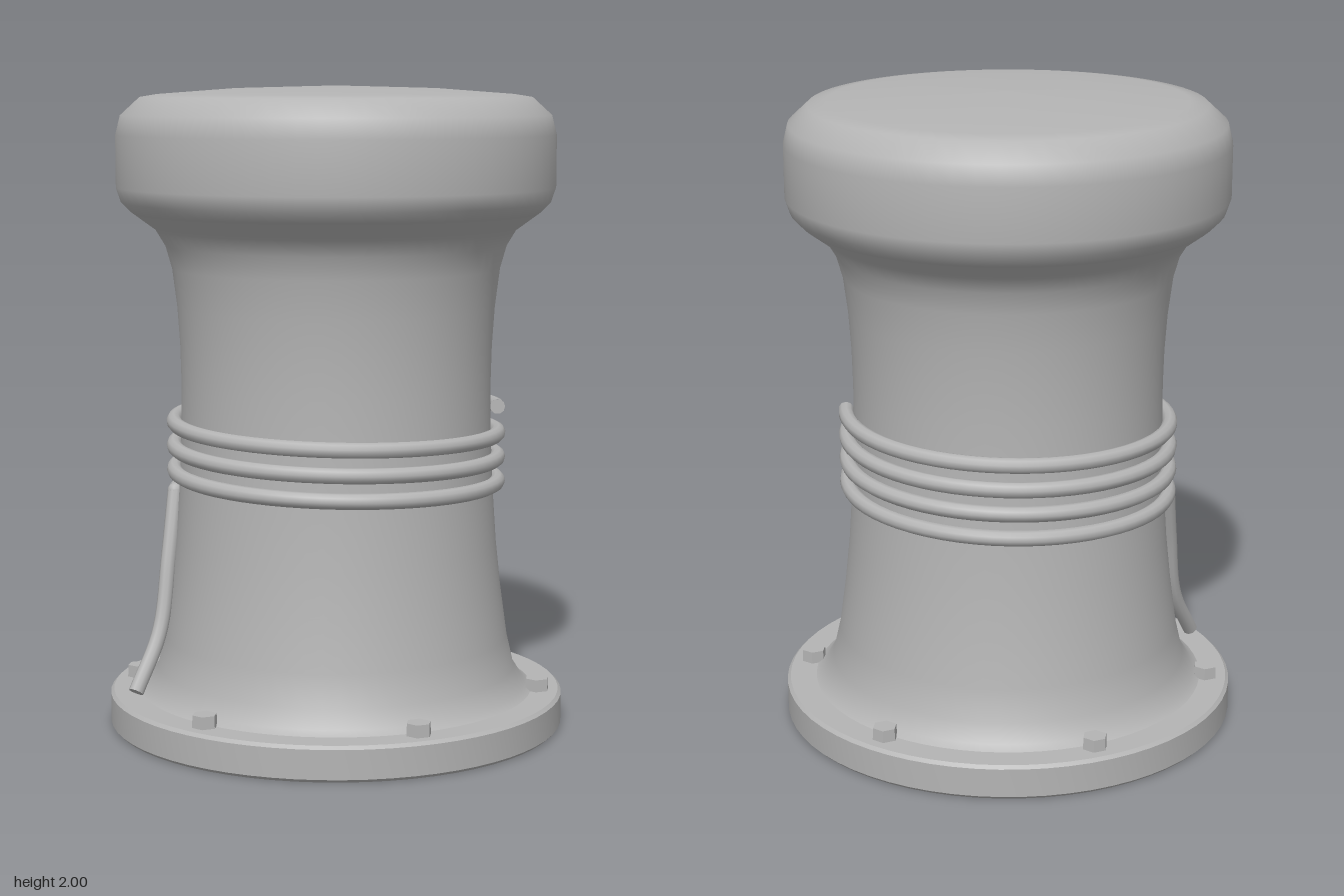
import * as THREE from 'three';
import { toCreasedNormals } from 'three/addons/utils/BufferGeometryUtils.js';

const ROPE_R = 0.024;
const deg = THREE.MathUtils.degToRad;

// Point on a ring: angle measured from +x towards +z
const polar = (r, a, y) => new THREE.Vector3(r * Math.cos(a), y, r * Math.sin(a));
const profile = (pts) => pts.map(([x, y]) => new THREE.Vector2(x, y));

// Descending rope coil: three and a half turns
class Coil extends THREE.Curve {
  getPoint(t, target = new THREE.Vector3()) {
    return target.copy(polar(0.508, deg(52 - 1260 * t), 1.0 - 0.266 * t));
  }
}

export function createModel() {
  const group = new THREE.Group();
  const iron = new THREE.MeshStandardMaterial({ color: 0xb4b4b4 });
  iron.name = 'grey iron';

  const add = (name, geometry, parent = group) => {
    const mesh = new THREE.Mesh(geometry, iron);
    mesh.name = name;
    parent.add(mesh);
    return mesh;
  };

  // Round base plate with small chamfers
  const plate = new THREE.LatheGeometry(profile([
    [0, 0], [0.706, 0], [0.716, 0.01], [0.716, 0.1], [0.706, 0.11], [0.5, 0.11],
  ]), 64);
  add('basePlate', toCreasedNormals(plate, deg(35)));

  // Waisted post flowing into the wide mushroom head
  add('post', new THREE.LatheGeometry(profile([
    [0.625, 0.108], [0.6, 0.125], [0.565, 0.18], [0.542, 0.28], [0.52, 0.44], [0.505, 0.58],
    [0.494, 0.74], [0.486, 0.92], [0.484, 1.08], [0.487, 1.2], [0.495, 1.32],
    [0.51, 1.44], [0.53, 1.51], [0.56, 1.56], [0.635, 1.615], [0.665, 1.645], [0.68, 1.69],
    [0.68, 1.85], [0.665, 1.91], [0.605, 1.965], [0.55, 1.974], [0.31, 1.992], [0, 2.0],
  ]), 64));

  // Six hexagonal bolt heads
  const bolts = new THREE.Group();
  bolts.name = 'bolts';
  group.add(bolts);
  const boltGeo = toCreasedNormals(new THREE.CylinderGeometry(0.038, 0.04, 0.04, 6), deg(30));
  for (let i = 0; i < 6; i++) {
    add('bolt', boltGeo, bolts).position.copy(polar(0.64, i * Math.PI / 3, 0.128));
  }

  // Rope: coil, then a tail that hangs down the back to the base plate
  const rope = new THREE.Group();
  rope.name = 'rope';
  group.add(rope);
  const coil = new Coil();
  const kink = coil.getPoint(1);
  const tail = new THREE.CatmullRomCurve3([
    kink,
    polar(0.53, deg(-135), 0.535),
    polar(0.568, deg(-141.5), 0.31),
    polar(0.66, deg(-148), 0.14),
  ]);
  add('ropeCoil', new THREE.TubeGeometry(coil, 220, ROPE_R, 10), rope);
  add('ropeTail', new THREE.TubeGeometry(tail, 24, ROPE_R, 10), rope);
  add('ropeBend', new THREE.SphereGeometry(ROPE_R, 12, 8), rope).position.copy(kink);

  // Flat rope ends
  const closeEnd = (point, outward) => {
    const cap = add('ropeEnd', new THREE.CircleGeometry(ROPE_R, 10), rope);
    cap.position.copy(point);
    cap.quaternion.setFromUnitVectors(new THREE.Vector3(0, 0, 1), outward);
  };
  closeEnd(coil.getPoint(0), coil.getTangent(0).negate());
  closeEnd(tail.getPoint(1), tail.getTangent(1));

  return group;
}
